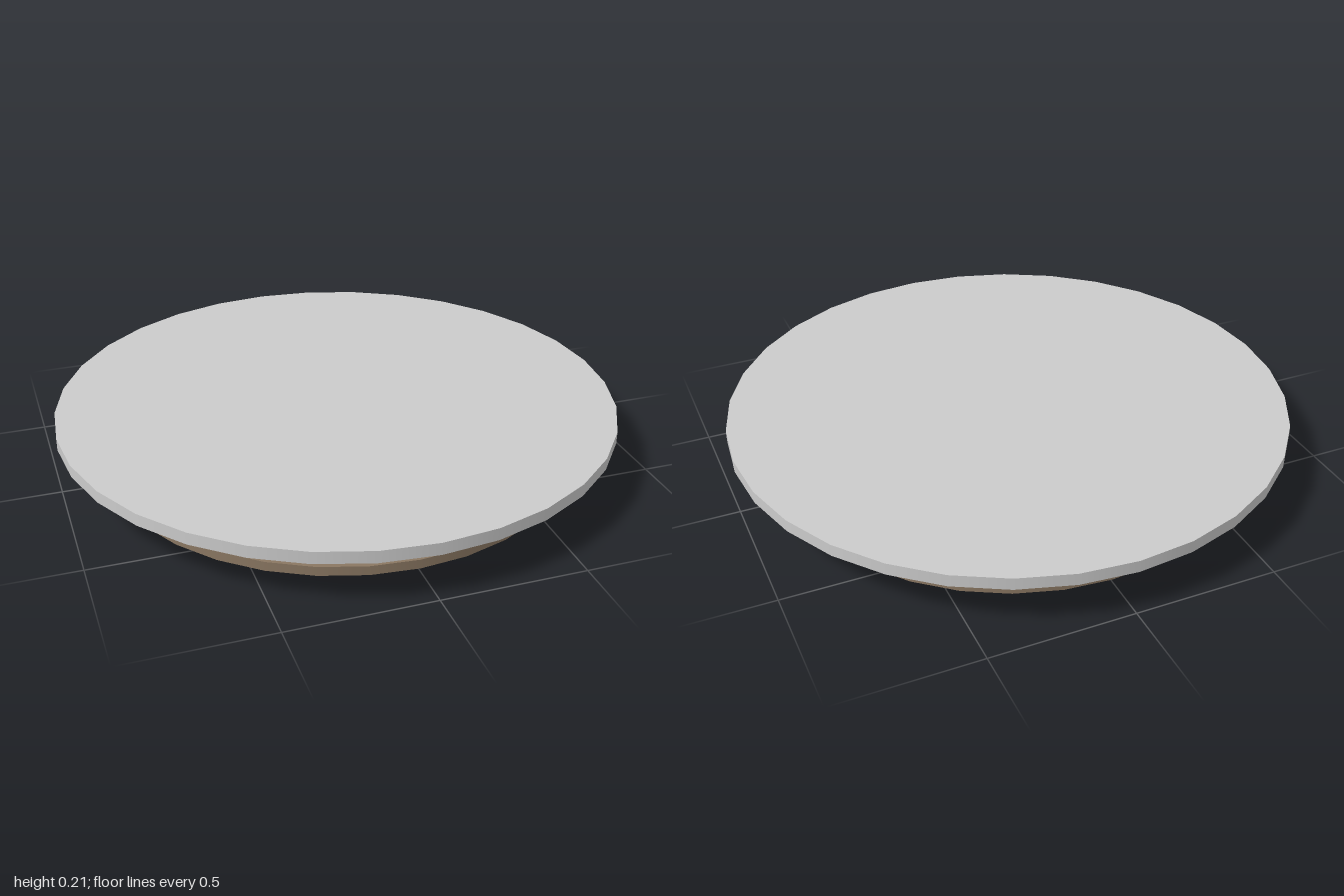
import * as THREE from 'three';
import { mergeGeometries } from 'three/addons/utils/BufferGeometryUtils.js';

const SIDES = 32;
const grey = new THREE.MeshStandardMaterial({ color: 0xcccccc, side: THREE.DoubleSide });
const brown = new THREE.MeshStandardMaterial({ color: 0x8a7762, side: THREE.DoubleSide });

// Revolves a [radius, y] profile: smooth around the axis, sharp at each profile point.
function ring(name, profile, material) {
  const bands = [];
  for (let i = 0; i < profile.length - 1; i++) {
    const pts = [profile[i], profile[i + 1]].map(([r, y]) => new THREE.Vector2(r, y));
    bands.push(new THREE.LatheGeometry(pts, SIDES));
  }
  const mesh = new THREE.Mesh(mergeGeometries(bands), material);
  mesh.name = name;
  return mesh;
}

export function createModel() {
  const model = new THREE.Group();
  model.name = 'lid';

  // Wide disc: rim and flat top
  model.add(ring('topDisc', [[1, 0.165], [1, 0.208], [0, 0.208]], grey));

  // Coloured underside of the overhang
  model.add(ring('overhangUnderside', [[0.84, 0.165], [1, 0.165]], brown));

  // Shallow bevelled plug under the disc, also the ceiling inside the collar
  model.add(ring('plug', [[0, 0.157], [0.79, 0.157], [0.84, 0.165]], grey));

  // Thin collar shell with a hollow lip that turns inward at the bottom
  model.add(ring('collar', [
    [0.8, 0], [0.84, 0.012], [0.84, 0.045], [0.75, 0.045], [0.75, 0.157],
  ], brown));

  return model;
}
